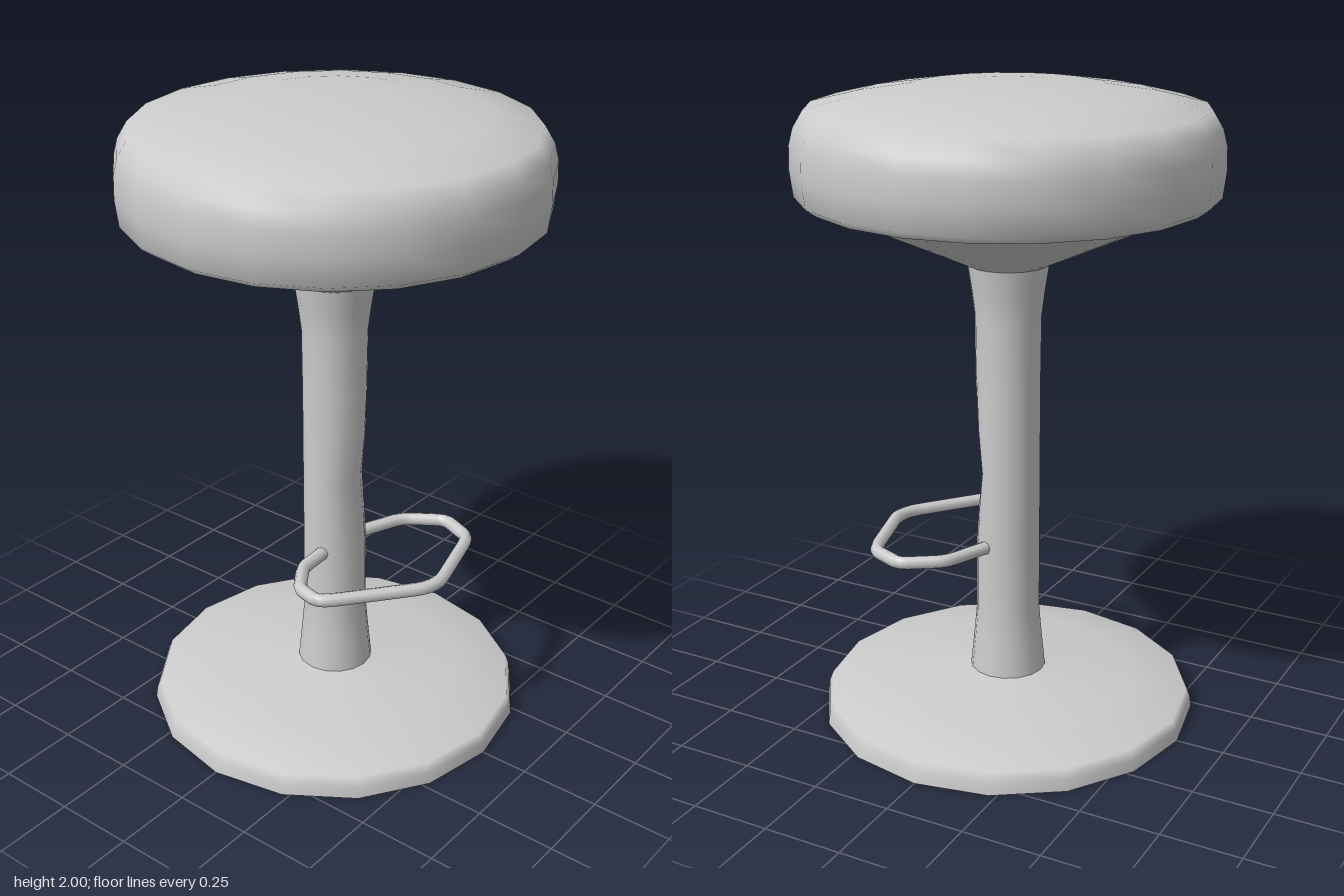
import * as THREE from 'three';

const material = new THREE.MeshStandardMaterial({ color: 0xcccccc, side: THREE.DoubleSide });

function addMesh(group, name, geometry) {
  const mesh = new THREE.Mesh(geometry, material);
  mesh.name = name;
  group.add(mesh);
  return mesh;
}

// Surface of revolution from [radius, height] pairs, bottom to top
function lathe(profile, sides) {
  return new THREE.LatheGeometry(profile.map(([r, y]) => new THREE.Vector2(r, y)), sides);
}

export function createModel() {
  const stool = new THREE.Group();
  stool.name = 'barStool';

  // Hollow dished foot, open underneath
  addMesh(stool, 'base', lathe(
    [[0.597, 0], [0.592, 0.035], [0.58, 0.066], [0.4, 0.098], [0.25, 0.115], [0.12, 0.132]], 16));

  // Column flaring at both ends, with a shallow dent in its front
  const post = lathe(
    [[0.12, 0.13], [0.108, 0.25], [0.1, 0.34], [0.1, 0.55], [0.1, 0.68], [0.1, 0.8],
      [0.1, 0.93], [0.1, 1.1], [0.102, 1.3], [0.112, 1.38], [0.125, 1.465]], 16);
  const pos = post.attributes.position;
  for (let i = 0; i < pos.count; i++) {
    const dent = Math.max(0, 1 - Math.abs(pos.getY(i) - 0.8) / 0.2);
    if (pos.getZ(i) > 0) pos.setZ(i, pos.getZ(i) * (1 - 0.25 * dent));
  }
  addMesh(stool, 'post', post);

  // Conical support under the cushion
  addMesh(stool, 'seatSupport', lathe([[0.12, 1.46], [0.34, 1.56], [0.56, 1.66]], 20));

  // Padded round cushion
  addMesh(stool, 'cushionUnderside', lathe([[0.53, 1.66], [0.6, 1.658]], 20));
  addMesh(stool, 'cushion', lathe(
    [[0.6, 1.658], [0.63, 1.68], [0.64, 1.76], [0.638, 1.83], [0.625, 1.88], [0.595, 1.93],
      [0.45, 1.965], [0.29, 1.99], [0.14, 1.998], [0, 2]], 20));

  // Bent bar footrest: straight runs joined at soft corners
  const corners = [[-0.06, 0.02], [-0.2, 0.03], [-0.3, 0.1], [-0.32, 0.19], [-0.03, 0.42],
    [0.27, 0.33], [0.32, 0.21], [0.24, 0.09], [0.06, 0.02]]
    .map(([x, z]) => new THREE.Vector3(x, 0.562, z));
  const path = new THREE.CurvePath();
  let start = corners[0];
  for (let i = 1; i < corners.length - 1; i++) {
    const before = corners[i].clone().lerp(corners[i - 1], 0.2);
    const after = corners[i].clone().lerp(corners[i + 1], 0.2);
    path.add(new THREE.LineCurve3(start, before));
    path.add(new THREE.QuadraticBezierCurve3(before, corners[i], after));
    start = after;
  }
  path.add(new THREE.LineCurve3(start, corners[corners.length - 1]));
  addMesh(stool, 'footrest', new THREE.TubeGeometry(path, 72, 0.021, 8, false));

  return stool;
}
